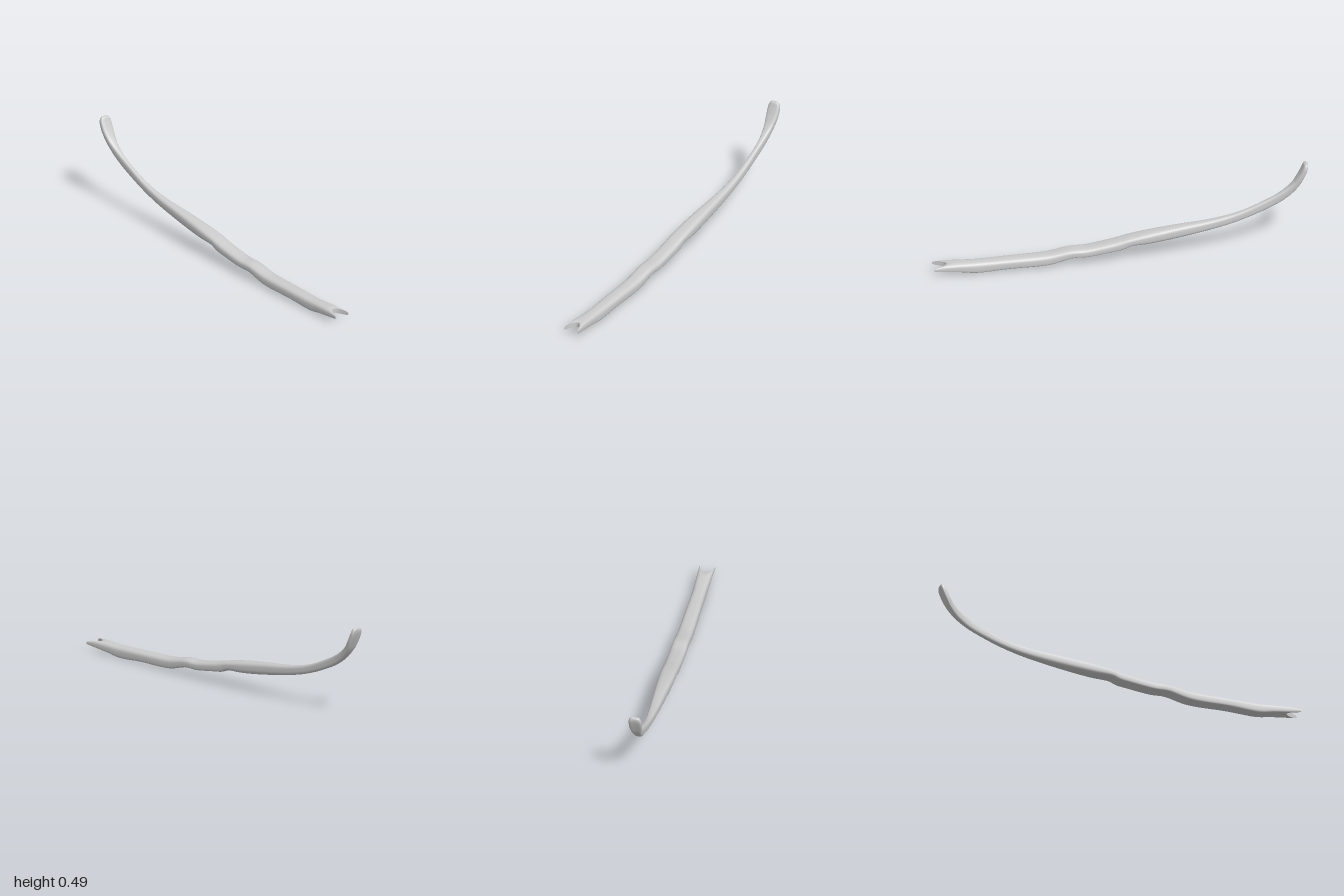
import * as THREE from 'three';

// Stations along the arm: z, y, half thickness, half width, underside groove depth
const STATIONS = [
  [1.0, 0.058, 0.017, 0.043, 0.008], [0.95, 0.056, 0.024, 0.041, 0.012],
  [0.85, 0.049, 0.030, 0.038, 0.014], [0.76, 0.041, 0.036, 0.037, 0.016],
  [0.6, 0.048, 0.033, 0.039, 0.016], [0.4, 0.053, 0.034, 0.041, 0.016],
  [0.27, 0.079, 0.028, 0.042, 0.014], [0.18, 0.081, 0.028, 0.043, 0.014],
  [0.05, 0.1, 0.030, 0.043, 0.014], [0, 0.11, 0.031, 0.043, 0.01],
  [-0.05, 0.126, 0.026, 0.042, 0.004], [-0.15, 0.138, 0.032, 0.041, 0.002],
  [-0.3, 0.158, 0.032, 0.034, 0], [-0.5, 0.187, 0.026, 0.023, 0],
  [-0.65, 0.225, 0.023, 0.017, 0], [-0.8, 0.288, 0.024, 0.015, 0],
  [-0.88, 0.336, 0.023, 0.019, 0.002], [-0.93, 0.383, 0.02, 0.026, 0.005],
  [-0.96, 0.43, 0.018, 0.033, 0.007], [-0.982, 0.478, 0.016, 0.034, 0.006],
  [-0.988, 0.502, 0.012, 0.027, 0.002], [-0.99, 0.511, 0.004, 0.017, 0],
];
const RINGS = 130, SIDES = 40;

const spline = (points) => new THREE.CatmullRomCurve3(points, false, 'catmullrom', 0.5);
const softPow = (v, e) => Math.sign(v) * Math.pow(Math.abs(v), e);

function ringPoints(spine, shape, t) {
  const c = spine.getPoint(t), d = spine.getTangent(t), s = shape.getPoint(t);
  const points = [];
  for (let j = 0; j < SIDES; j++) {
    const a = (j / SIDES) * Math.PI * 2;
    const u = softPow(Math.cos(a), 0.7), v = softPow(Math.sin(a), 0.65);
    let n = v * s.x;
    if (v < 0) n += s.z * (1 - u * u);
    const p = new THREE.Vector3(u * s.y, c.y - d.z * n, c.z + d.y * n);
    // pull the middle of the front end back so two prongs remain
    const fork = Math.max(0, (c.z - 0.85) / 0.15);
    p.z -= 0.07 * fork * (1 - u * u);
    points.push(p);
  }
  return points;
}

function toGeometry(points, index) {
  const g = new THREE.BufferGeometry().setFromPoints(points);
  g.setIndex(index);
  g.computeVertexNormals();
  return g;
}

// Cap made of strips between the upper and lower halves of a ring
function capGeometry(points, flip) {
  const index = [];
  for (let j = 0; j < SIDES / 2; j++) {
    const a = j, b = j + 1, c = SIDES - j - 1, d = (SIDES - j) % SIDES;
    if (flip) index.push(a, c, b, a, d, c);
    else index.push(a, b, c, a, c, d);
  }
  return toGeometry(points, index);
}

export function createModel() {
  const group = new THREE.Group();
  group.name = 'curvedArm';
  const material = new THREE.MeshStandardMaterial({ color: 0xcccccc });
  const spine = spline(STATIONS.map(([z, y]) => new THREE.Vector3(0, y, z)));
  const shape = spline(STATIONS.map(([, , h, w, g]) => new THREE.Vector3(h, w, g)));

  const rings = [];
  for (let i = 0; i <= RINGS; i++) rings.push(ringPoints(spine, shape, i / RINGS));

  // Skin between neighbouring rings
  const index = [];
  for (let i = 0; i < RINGS; i++) {
    for (let j = 0; j < SIDES; j++) {
      const k = (j + 1) % SIDES;
      const a = i * SIDES + j, b = i * SIDES + k, c = a + SIDES, d = b + SIDES;
      index.push(a, c, b, b, c, d);
    }
  }

  const add = (name, geometry) => {
    const mesh = new THREE.Mesh(geometry, material);
    mesh.name = name;
    group.add(mesh);
  };
  add('armBody', toGeometry(rings.flat(), index));
  add('forkedFrontEnd', capGeometry(rings[0], false));
  add('upturnedTip', capGeometry(rings[RINGS], true));
  return group;
}
